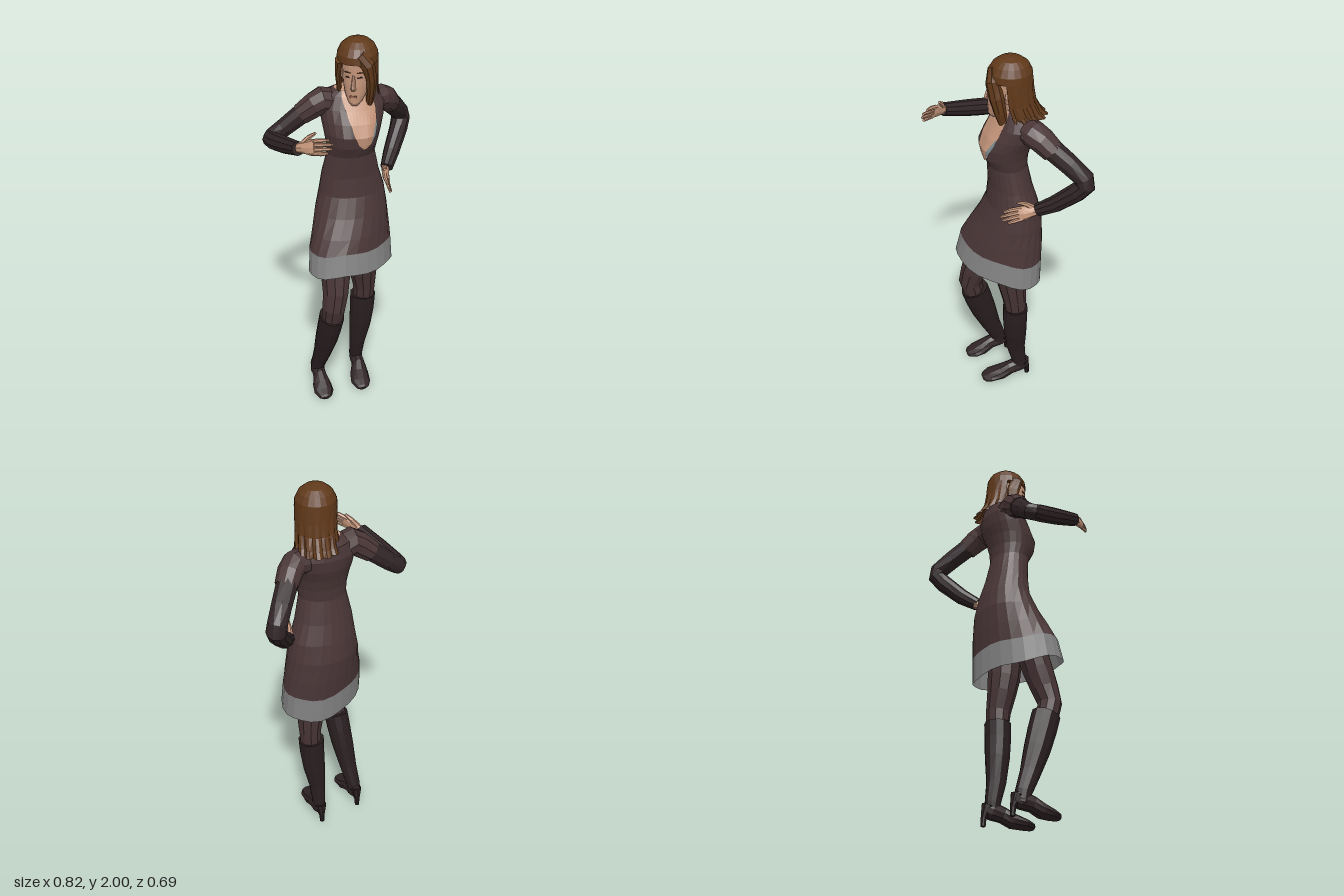
import * as THREE from 'three';

const mat = (name, color, side = THREE.FrontSide) => {
  const m = new THREE.MeshStandardMaterial({ color, side });
  m.name = name;
  return m;
};
const V = (x, y, z) => new THREE.Vector3(x, y, z);

export function createModel() {
  const dress = mat('dress brown', 0x4a3637);
  const tights = mat('tights brown', 0x463335);
  const dark = mat('sleeve dark', 0x302426);
  const leather = mat('boot leather', 0x291e20);
  const trim = mat('hem grey', 0x828382, THREE.DoubleSide);
  const skin = mat('skin', 0xc4957a, THREE.DoubleSide);
  const hair = mat('hair brown', 0x60391a, THREE.DoubleSide);
  const ink = mat('eye dark', 0x3a2a24, THREE.DoubleSide);
  const lip = mat('lip', 0x96604f, THREE.DoubleSide);
  const lace = mat('lace grey blue', 0x7d8b8d, THREE.DoubleSide);
  const model = new THREE.Group();
  model.name = 'standingWoman';

  // Faceted skin over rows of points; closed rows wrap, caps fill both ends
  function loft(name, rows, material, { parent = model, closed = true, caps = true } = {}) {
    const pos = [], n = rows[0].length;
    const tri = (...p) => p.forEach((v) => pos.push(v.x, v.y, v.z));
    for (let i = 0; i + 1 < rows.length; i++) {
      for (let j = 0; j < (closed ? n : n - 1); j++) {
        const k = (j + 1) % n;
        tri(rows[i][j], rows[i + 1][j], rows[i][k]);
        tri(rows[i][k], rows[i + 1][j], rows[i + 1][k]);
      }
    }
    if (closed && caps) {
      [rows[0], rows[rows.length - 1]].forEach((r, end) => {
        const c = r.reduce((s, v) => s.add(v), V(0, 0, 0)).divideScalar(n);
        r.forEach((v, j) => (end ? tri(v, c, r[(j + 1) % n]) : tri(c, v, r[(j + 1) % n])));
      });
    }
    const g = new THREE.BufferGeometry();
    g.setAttribute('position', new THREE.Float32BufferAttribute(pos, 3));
    g.computeVertexNormals();
    const mesh = new THREE.Mesh(g, material);
    mesh.name = name;
    parent.add(mesh);
  }

  // Limb through points [x, y, z, radius across, radius along ref]
  function limb(name, pts, material, parent = model, ref = V(0, 0, 1), n = 10) {
    const p = pts.map((q) => V(q[0], q[1], q[2]));
    const rows = pts.map((q, i) => {
      const t = V(0, 0, 0);
      if (i > 0) t.add(p[i].clone().sub(p[i - 1]).normalize());
      if (i + 1 < p.length) t.add(p[i + 1].clone().sub(p[i]).normalize());
      t.normalize();
      const a = t.clone().cross(ref).normalize(), b = a.clone().cross(t);
      return Array.from({ length: n }, (_, j) => {
        const th = (j / n) * Math.PI * 2;
        return p[i].clone().addScaledVector(a, Math.cos(th) * q[3]).addScaledVector(b, Math.sin(th) * (q[4] ?? q[3]));
      });
    });
    loft(name, rows, material, { parent });
  }

  // Level ring: y, x range, z range, sideways skew, bust, tilt, ripple
  const bustBump = (x, bust) => bust * Math.exp(-(((Math.abs(x) - 0.06) / 0.035) ** 2));
  function ring([y, x0, x1, zb, zf, skew = 0, bust = 0, tilt = 0, ripple = 0], n = 24, from = 0, to = 360) {
    const cx = (x0 + x1) / 2, rx = (x1 - x0) / 2, cz = (zb + zf) / 2, rz = (zf - zb) / 2;
    const full = to - from === 360;
    return Array.from({ length: n }, (_, j) => {
      const a = ((from + ((to - from) * j) / (full ? n : n - 1)) * Math.PI) / 180;
      const s = Math.sin(a), x = rx * Math.cos(a);
      return V(cx + x - skew * s * rz, y + tilt * s + ripple * Math.sin(a * 5), cz + s * rz + (s > 0 ? bustBump(x, bust) : 0));
    });
  }

  // Dress, flaring to a tilted hem with a grey band
  const hemTop = [0.912, -0.206, 0.226, -0.18, 0.19, 0.38, 0, 0.027, 0.006];
  const body = [
    hemTop,
    [1.0, -0.186, 0.221, -0.188, 0.16, 0.28, 0, 0.01],
    [1.1, -0.165, 0.214, -0.19, 0.115, 0.14],
    [1.2, -0.14, 0.2, -0.172, 0.075, 0.05],
    [1.3, -0.125, 0.168, -0.145, 0.065],
    [1.42, -0.1, 0.14, -0.12, 0.072],
    [1.48, -0.107, 0.15, -0.125, 0.098, 0, 0.008],
    [1.54, -0.117, 0.165, -0.14, 0.106, 0, 0.01],
    [1.6, -0.125, 0.185, -0.16, 0.082, 0, 0.006],
    [1.66, -0.13, 0.195, -0.168, 0.05],
    [1.72, -0.1, 0.165, -0.155, 0.02],
    [1.745, -0.055, 0.132, -0.118, 0.005],
  ];
  loft('dress', body.map((r) => ring(r)), dress, { caps: false });
  loft('hemBand', [ring([0.788, -0.213, 0.231, -0.175, 0.216, 0.4, 0, 0.04, 0.007]), ring(hemTop)], trim, { caps: false });
  loft('neckBase', [body[11], [1.758, 0, 0.085, -0.095, -0.005]].map((r) => ring(r)), skin);
  limb('neck', [[0.04, 1.66, -0.06, 0.052], [0.042, 1.74, -0.045, 0.043], [0.046, 1.82, -0.02, 0.045]], skin);

  // Deep neckline and its lace edge, lying on the front of the dress
  const frontZ = (x, y) => {
    const i = body.findIndex((r) => r[0] >= y - 1e-6), a = body[i - 1], b = body[i];
    const t = (y - a[0]) / (b[0] - a[0]), f = (k) => (a[k] ?? 0) * (1 - t) + (b[k] ?? 0) * t;
    const dx = x - (f(1) + f(2)) / 2, u = dx / ((f(2) - f(1)) / 2);
    return (f(3) + f(4)) / 2 + ((f(4) - f(3)) / 2) * Math.sqrt(Math.max(0, 1 - u * u)) + bustBump(dx, f(6));
  };
  const overlay = (name, rows, lift, material) => loft(name, rows.map(([y, l, r]) => Array.from({ length: 11 }, (_, j) => {
    const x = r + ((l - r) * j) / 10;
    return V(x, y, frontZ(x, y) + lift);
  })), material, { closed: false });
  overlay('neckline', [[1.475, 0.05, 0.065], [1.5, 0.025, 0.092], [1.54, 0.008, 0.112], [1.57, 0, 0.12], [1.6, -0.008, 0.126],
    [1.66, -0.024, 0.128], [1.72, -0.036, 0.12], [1.745, -0.03, 0.105]], 0.007, skin);
  overlay('laceEdge', [[1.51, 0.09, 0.098], [1.54, 0.097, 0.114], [1.58, 0.112, 0.126], [1.61, 0.122, 0.128]], 0.01, lace);

  // Arms: puffed shoulder, then dark sleeve bent at the elbow
  const up = V(0, 1, 0.2);
  limb('leftShoulder', [[0.1, 1.65, -0.07, 0.07], [0.19, 1.652, -0.1, 0.064], [0.225, 1.63, -0.13, 0.062], [0.262, 1.585, -0.17, 0.055]], dress, model, up);
  limb('leftSleeve', [[0.25, 1.6, -0.16, 0.053], [0.31, 1.53, -0.235, 0.051], [0.355, 1.47, -0.292, 0.048], [0.363, 1.435, -0.296, 0.049],
    [0.342, 1.39, -0.262, 0.047], [0.28, 1.3, -0.18, 0.042], [0.235, 1.25, -0.11, 0.033]], dark, model, V(0.8, -0.2, -0.5));
  limb('rightShoulder', [[-0.04, 1.66, -0.07, 0.07], [-0.115, 1.685, -0.06, 0.069], [-0.15, 1.665, -0.062, 0.064], [-0.215, 1.617, -0.074, 0.054]], dress, model, up);
  limb('rightSleeve', [[-0.2, 1.63, -0.07, 0.052], [-0.3, 1.55, -0.086, 0.046], [-0.355, 1.512, -0.086, 0.042], [-0.368, 1.505, -0.066, 0.043],
    [-0.358, 1.515, -0.02, 0.044], [-0.33, 1.54, 0.08, 0.042], [-0.292, 1.575, 0.205, 0.034]], dark, model, up);

  // Hand: local y runs to the fingertips, local x to the thumb
  function hand(name, wrist, tip, thumb, size) {
    const y = tip.clone().sub(wrist).normalize(), z = thumb.clone().cross(y).normalize();
    const g = new THREE.Group();
    g.name = name;
    g.quaternion.setFromRotationMatrix(new THREE.Matrix4().makeBasis(y.clone().cross(z), y, z));
    g.position.copy(wrist);
    g.scale.setScalar(size);
    limb('palm', [[0, -0.03, 0, 0.024, 0.021], [0, 0.02, 0, 0.03, 0.02], [0, 0.065, 0, 0.04, 0.018], [0, 0.09, 0, 0.038, 0.013]], skin, g, V(0, 0, 1), 8);
    [0.155, 0.18, 0.185, 0.165].forEach((len, i) => {
      const x = -0.028 + i * 0.0187;
      limb('finger', [[x, 0.07, 0, 0.0115], [x * 1.1, 0.12, 0.004, 0.011], [x * 1.1, len, 0.012, 0.007]], skin, g, V(0, 0, 1), 6);
    });
    limb('thumb', [[0.018, 0.01, 0, 0.016], [0.048, 0.045, 0.008, 0.012], [0.066, 0.085, 0.012, 0.007]], skin, g, V(0, 0, 1), 6);
    model.add(g);
  }
  hand('rightHand', V(-0.28, 1.582, 0.212), V(-0.18, 1.632, 0.34), V(0.25, 1, -0.15), 0.97);
  hand('leftHand', V(0.226, 1.242, -0.105), V(0.192, 1.21, 0.045), V(-0.35, 1, 0), 0.95);

  // Legs, boots, feet and heels
  function leg(side, thigh, shaft, x, ankleZ, toeX, toeZ) {
    limb(side + 'Leg', thigh, tights);
    limb(side + 'Boot', shaft, leather, model, V(0, 0, 1), 12);
    const mx = (x + toeX) / 2;
    limb(side + 'Foot', [[x, 0.09, ankleZ - 0.042, 0.026, 0.034], [x, 0.08, ankleZ - 0.01, 0.036, 0.046], [x, 0.066, ankleZ + 0.05, 0.037, 0.04],
      [mx, 0.04, ankleZ + 0.1, 0.05, 0.037], [toeX, 0.027, toeZ - 0.045, 0.053, 0.026], [toeX, 0.019, toeZ - 0.01, 0.036, 0.018],
      [toeX, 0.016, toeZ, 0.018, 0.012]], dark, model, V(0, 1, 0));
    limb(side + 'Heel', [[x, 0, ankleZ - 0.05, 0.013], [x, 0.04, ankleZ - 0.048, 0.015], [x, 0.1, ankleZ - 0.026, 0.034]], leather, model, V(0, 0, 1), 8);
  }
  leg('right',
    [[-0.118, 0.51, 0.115, 0.056], [-0.113, 0.6, 0.137, 0.061], [-0.098, 0.68, 0.118, 0.068, 0.072], [-0.088, 0.78, 0.085, 0.079], [-0.078, 0.92, 0.04, 0.084]],
    [[-0.166, 0.06, -0.045, 0.036, 0.038], [-0.163, 0.12, -0.033, 0.038, 0.042], [-0.15, 0.22, 0.008, 0.046, 0.052],
      [-0.135, 0.35, 0.054, 0.059, 0.068], [-0.125, 0.45, 0.086, 0.063, 0.074], [-0.117, 0.535, 0.112, 0.065, 0.074]], -0.165, -0.04, -0.165, 0.152);
  leg('left',
    [[0.097, 0.51, -0.05, 0.056], [0.1, 0.6, -0.043, 0.06, 0.063], [0.09, 0.7, -0.03, 0.074, 0.074], [0.087, 0.78, -0.02, 0.083], [0.082, 0.92, -0.01, 0.086]],
    [[0.07, 0.06, -0.09, 0.034, 0.037], [0.068, 0.12, -0.084, 0.036, 0.04], [0.07, 0.22, -0.066, 0.043, 0.05],
      [0.083, 0.35, -0.055, 0.06, 0.062], [0.091, 0.45, -0.05, 0.066, 0.066], [0.095, 0.535, -0.05, 0.069, 0.066]], 0.068, -0.083, 0.052, 0.125);

  // Head, turned toward its right
  const head = new THREE.Group();
  head.name = 'head';
  head.position.set(0.05, 1.84, -0.02);
  head.rotation.y = -0.45;
  model.add(head);
  const band = (y, rx, zb, zf) => [y, -rx, rx, zb, zf];
  loft('face', [[-0.152, 0.018, 0.04, 0.085], [-0.135, 0.034, 0, 0.096], [-0.1, 0.052, -0.04, 0.097], [-0.05, 0.064, -0.07, 0.097],
    [0, 0.069, -0.08, 0.094], [0.05, 0.07, -0.085, 0.095], [0.1, 0.06, -0.08, 0.075]].map((r) => ring(band(...r), 20)), skin, { parent: head });
  limb('nose', [[0, -0.066, 0.095, 0.013, 0.01], [0, -0.055, 0.1, 0.012, 0.015], [0, 0.005, 0.09, 0.006, 0.006]], skin, head, V(0, 0, 1), 6);
  const plate = (name, x, y, z, w, h, turn, m) => {
    const p = new THREE.Mesh(new THREE.BoxGeometry(w, h, 0.006), m);
    p.name = name;
    p.position.set(x, y, z);
    p.rotation.y = turn;
    head.add(p);
  };
  for (const s of [-1, 1]) {
    plate('eye', s * 0.029, -0.006, 0.086, 0.022, 0.006, s * 0.42, ink);
    plate('eyebrow', s * 0.03, 0.018, 0.087, 0.03, 0.004, s * 0.42, hair);
    limb('ear', [[s * 0.068, -0.05, -0.005, 0.006, 0.01], [s * 0.08, -0.02, -0.008, 0.008, 0.016], [s * 0.07, 0.01, -0.01, 0.006, 0.012]], skin, head, V(0, 0, 1), 6);
  }
  plate('mouth', 0, -0.1, 0.096, 0.034, 0.01, 0, lip);

  // Hair: crown, flaring back curtain of locks, and front strands
  loft('hairCrown', [[0.055, 0.1, -0.115, 0.1], [0.09, 0.097, -0.112, 0.096], [0.125, 0.08, -0.095, 0.075], [0.148, 0.052, -0.065, 0.045], [0.16, 0.015, -0.02, 0.01]]
    .map((r) => ring(band(...r), 20)), hair, { parent: head });
  const curtain = [[-0.14, -0.125, 0.1, -0.185, 0.08], [-0.115, -0.113, 0.098, -0.16, 0.085], [-0.06, -0.102, 0.098, -0.13, 0.09],
    [0, -0.1, 0.1, -0.12, 0.095], [0.056, -0.1, 0.1, -0.115, 0.1]];
  loft('hairCurtain', curtain.map((r, i) => ring(r, 23, 175, 362).map((p, j) => {
    const k = j % 3 === 0 ? 0.9 + 0.025 * i : 1;
    return V(p.x * k, p.y, p.z * k);
  })), hair, { parent: head, closed: false });
  limb('leftStrand', [[0.06, -0.17, 0.012, 0.017, 0.022], [0.072, -0.1, 0.028, 0.021, 0.03], [0.076, -0.02, 0.045, 0.027, 0.036],
    [0.062, 0.05, 0.064, 0.036, 0.034], [0.02, 0.095, 0.07, 0.036, 0.024]], hair, head, V(0, 0, 1), 8);
  limb('rightStrand', [[-0.075, -0.15, 0.015, 0.01, 0.02], [-0.084, -0.08, 0.02, 0.012, 0.026], [-0.086, 0, 0.032, 0.014, 0.034],
    [-0.075, 0.065, 0.05, 0.022, 0.034]], hair, head, V(0, 0, 1), 8);
  return model;
}
